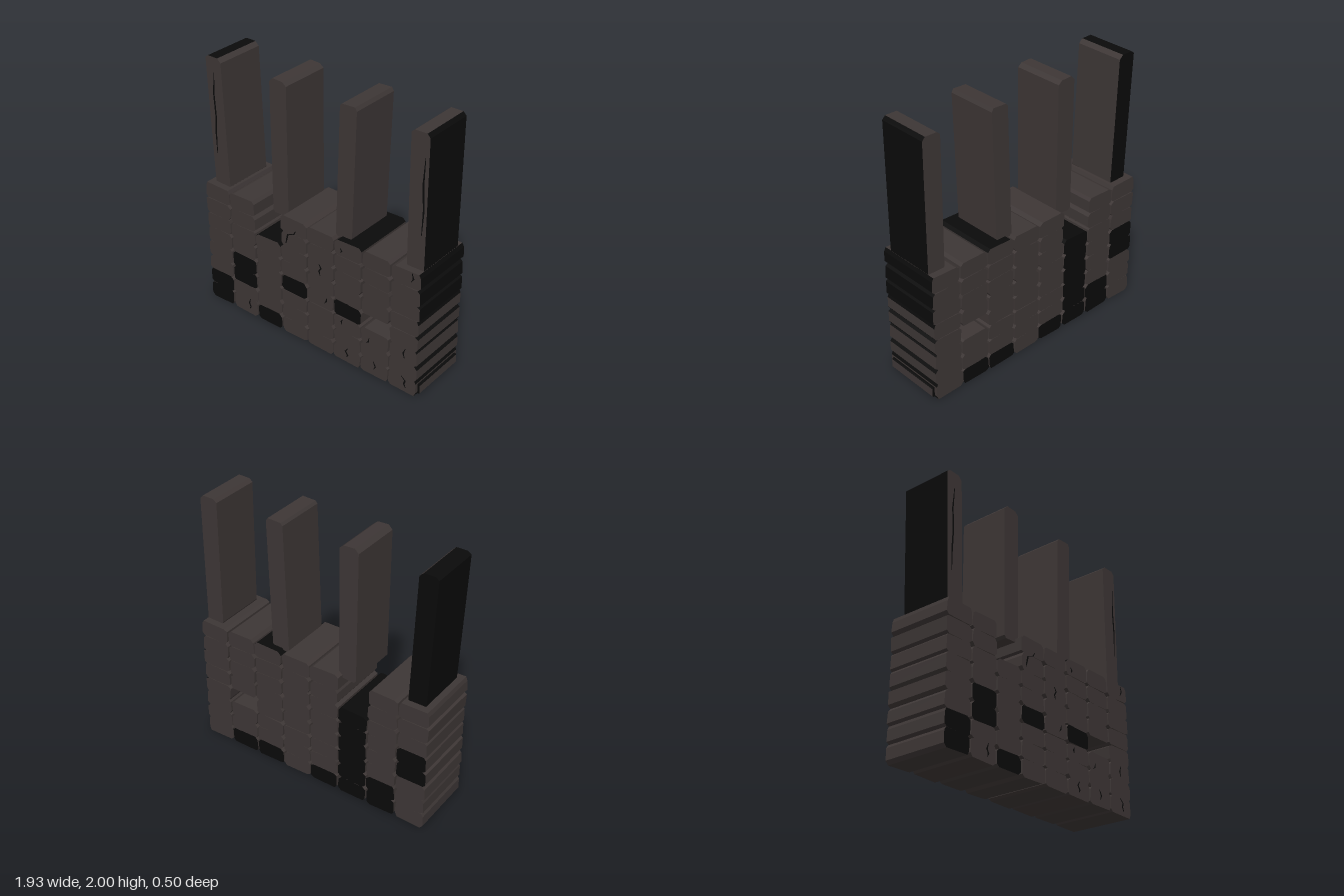
import * as THREE from 'three';

const stone = new THREE.MeshStandardMaterial({ color: 0x3d3635 });
stone.name = 'warm grey stone';
const soot = new THREE.MeshStandardMaterial({ color: 0x0a0a0a });
soot.name = 'soot black';
const MATERIALS = [stone, soot];

// small seeded generator for the uneven hewn edges
let seed = 7;
const rand = () => (seed = (seed * 16807) % 2147483647) / 2147483647;
const jitter = (a) => (rand() * 2 - 1) * a;

// Octagonal outline, anticlockwise from the lower end of the right side.
// Edge order: right, upper right, top, upper left, left, lower left, bottom, lower right.
function chippedOutline(x0, x1, y0, y1, cut, rough) {
  const c = () => cut * (0.6 + rand() * 0.8);
  const e = () => jitter(rough);
  return [
    [x1 + e(), y0 + c()], [x1 + e(), y1 - c()], [x1 - c(), y1 + e()], [x0 + c(), y1 + e()],
    [x0 + e(), y1 - c()], [x0 + e(), y0 + c()], [x0 + c(), y0 + e()], [x1 - c(), y0 + e()],
  ];
}
const EDGES = ['right', 'upperRight', 'top', 'upperLeft', 'left', 'lowerLeft', 'bottom', 'lowerRight'];

// Prism along z with one material group per face; black lists the sooty faces
function block(name, outline, halfDepth, black = []) {
  const pos = [];
  const geo = new THREE.BufferGeometry();
  const n = outline.length;
  const at = (i, z) => [...outline[i % n], z];
  const face = (key, ...tris) => {
    geo.addGroup(pos.length / 3, tris.length * 3, black.includes(key) ? 1 : 0);
    tris.forEach((t) => t.forEach((p) => pos.push(...p)));
  };
  const front = [], back = [];
  for (let i = 1; i < n - 1; i++) {
    front.push([at(0, halfDepth), at(i, halfDepth), at(i + 1, halfDepth)]);
    back.push([at(0, -halfDepth), at(i + 1, -halfDepth), at(i, -halfDepth)]);
  }
  face('front', ...front);
  face('back', ...back);
  for (let i = 0; i < n; i++) {
    const a = at(i, halfDepth), b = at(i, -halfDepth);
    const c = at(i + 1, -halfDepth), d = at(i + 1, halfDepth);
    face(EDGES[i], [a, b, c], [a, c, d]);
  }
  geo.setAttribute('position', new THREE.Float32BufferAttribute(pos, 3));
  geo.computeVertexNormals();
  const mesh = new THREE.Mesh(geo, MATERIALS);
  mesh.name = name;
  return mesh;
}

// Thin jagged crack plate following a few points, tapered at both ends
function crack(points, z, width = 0.006) {
  const last = points.length - 1;
  const w = (i) => (i === 0 || i === last ? width * 0.3 : width);
  const left = points.map(([x, y], i) => new THREE.Vector2(x - w(i), y));
  const right = points.map(([x, y], i) => new THREE.Vector2(x + w(i), y)).reverse();
  const geo = new THREE.ExtrudeGeometry(new THREE.Shape([...left, ...right]), { depth: 0.003, bevelEnabled: false });
  const mesh = new THREE.Mesh(geo, soot);
  mesh.position.z = z;
  mesh.name = 'crack';
  return mesh;
}

export function createModel() {
  const model = new THREE.Group();
  model.name = 'ruinedWall';

  // wall of stacked blocks: 8 columns by 8 rows, some missing, some sooty (column,row)
  const wall = new THREE.Group();
  wall.name = 'blockWall';
  const missing = ['2,6', '2,7', '6,3'];
  const blackFront = ['0,0', '0,1', '1,2', '1,3', '2,0', '3,3', '5,3'];
  const blackBack = ['0,3', '0,4', '1,0', '1,1', '2,0', '2,1', '2,2', '2,3', '2,4', '2,5', '3,0', '5,0', '6,0'];
  const blackTop = ['2,5', '5,7'];
  for (let c = 0; c < 8; c++) {
    for (let r = 0; r < 8; r++) {
      const key = `${c},${r}`;
      if (missing.includes(key)) continue;
      const x = -0.85 + c * 0.2405;
      const y = 0.008 + r * 0.125;
      const black = [];
      if (blackFront.includes(key)) black.push('front');
      if (blackBack.includes(key)) black.push('back');
      if (blackTop.includes(key)) black.push('top', 'upperLeft', 'upperRight');
      if (c === 7) black.push('upperRight', 'lowerRight');
      if (c === 7 && r > 4) black.push('right');
      const outline = chippedOutline(x - 0.114, x + 0.114, y, y + 0.125, 0.02, 0.005);
      wall.add(block('wallBlock', outline, 0.248, black));
    }
  }
  model.add(wall);

  // loose slab on the lowest block of the right-hand end
  model.add(block('endSlab', chippedOutline(0.91, 0.965, 0.02, 0.1, 0.008, 0.001), 0.222,
    ['front', 'back', 'top', 'bottom', 'upperRight', 'lowerRight']));

  // four tall posts: lower x, upper x, lower y, sooty faces
  const posts = [
    [-0.842, -0.878, 0.99, ['back', 'left', 'top', 'upperLeft']],
    [-0.286, -0.29, 0.965, []],
    [0.273, 0.305, 0.99, []],
    [0.864, 0.86, 0.99, ['right', 'upperRight']],
  ];
  posts.forEach(([xLow, xHigh, yLow, black]) => {
    const outline = chippedOutline(-0.07, 0.07, yLow, 1.997, 0.024, 0.003)
      .map(([x, y]) => [x + xLow + (xHigh - xLow) * (y - 1) , y]);
    model.add(block('post', outline, 0.194, black));
  });

  // cracks on the front of the blocks
  const cracks = new THREE.Group();
  cracks.name = 'cracks';
  [
    [[-0.11, 0.92], [-0.125, 0.89], [-0.18, 0.87], [-0.19, 0.83], [-0.2, 0.79]],
    [[0.1, 0.74], [0.118, 0.71], [0.1, 0.68], [0.11, 0.65]],
    [[0.17, 0.48], [0.165, 0.45], [0.15, 0.43]],
    [[0.285, 0.95], [0.3, 0.93], [0.29, 0.91]],
    [[0.31, 0.36], [0.3, 0.34], [0.305, 0.32]],
    [[0.36, 0.13], [0.34, 0.1], [0.36, 0.07], [0.35, 0.05]],
    [[0.545, 0.31], [0.54, 0.28], [0.52, 0.265]],
    [[0.585, 0.13], [0.605, 0.09], [0.59, 0.06]],
    [[0.88, 1], [0.892, 0.96], [0.875, 0.93]],
    [[0.85, 0.37], [0.835, 0.33], [0.845, 0.29]],
    [[0.825, 0.13], [0.86, 0.1], [0.85, 0.07], [0.865, 0.04]],
    [[-0.565, 0.14], [-0.58, 0.1], [-0.565, 0.07], [-0.575, 0.05]],
  ].forEach((points) => cracks.add(crack(points, 0.247)));

  // long cracks on the outer posts
  cracks.add(crack([[-0.873, 1.88], [-0.885, 1.72], [-0.875, 1.55], [-0.882, 1.4], [-0.88, 1.25]], 0.193));
  cracks.add(crack([[0.905, 1.83], [0.897, 1.65], [0.908, 1.45], [0.9, 1.27]], 0.193));
  model.add(cracks);

  return model;
}
